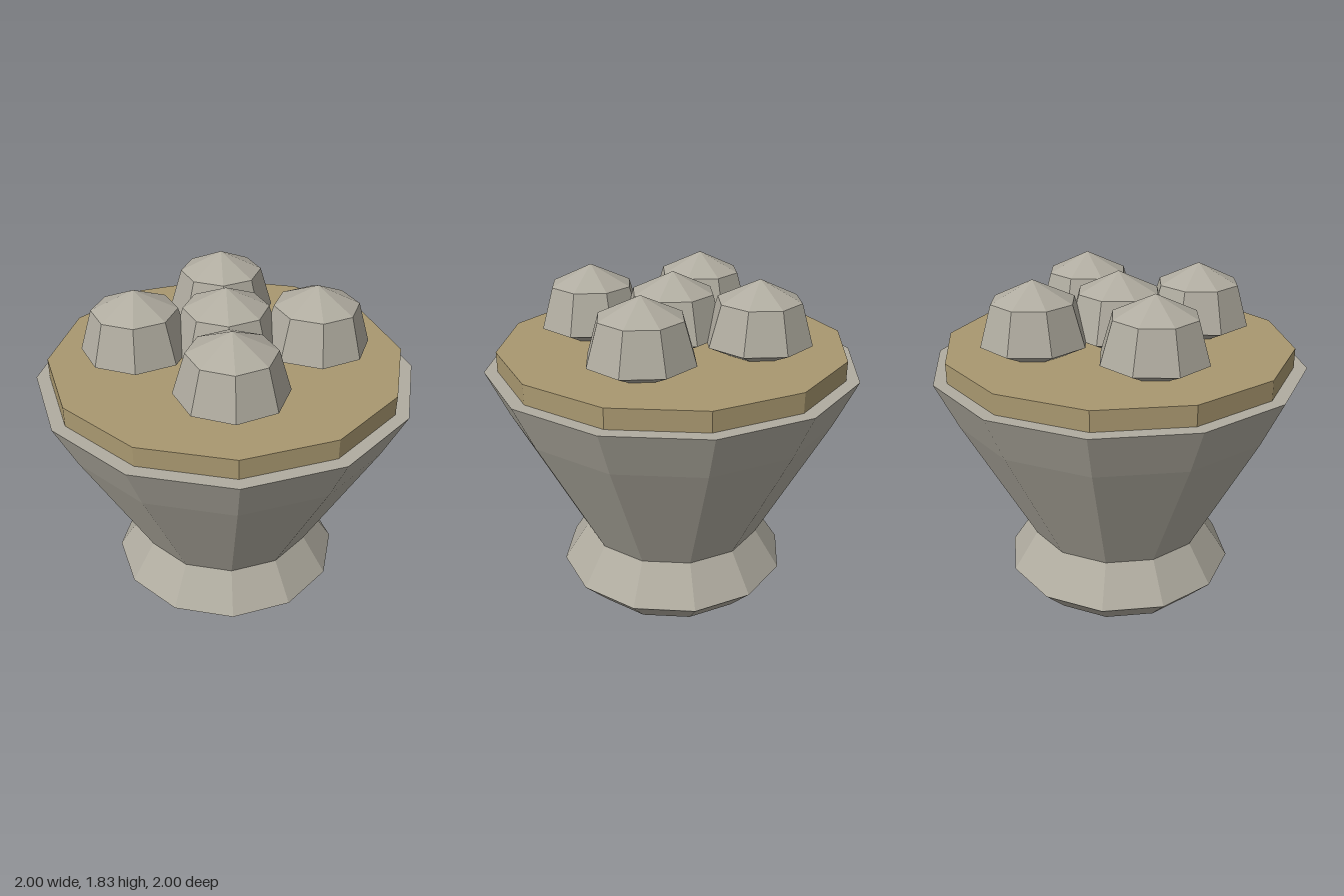
import * as THREE from 'three';

const stone = new THREE.MeshStandardMaterial({ name: 'stone', color: 0xb0aca0, flatShading: true });
const filling = new THREE.MeshStandardMaterial({ name: 'tanFilling', color: 0xa99870, flatShading: true });

// Faceted solid of revolution; the profile runs from bottom to top.
function turned(name, profile, sides, material) {
  const points = profile.map(([r, y]) => new THREE.Vector2(r, y));
  const mesh = new THREE.Mesh(new THREE.LatheGeometry(points, sides), material);
  mesh.name = name;
  return mesh;
}

export function createModel() {
  const model = new THREE.Group();
  model.name = 'stonePlanter';

  // Flared foot, narrow waist and wide bowl with a flat rim
  model.add(turned('pot', [
    [0, 0], [0.5, 0], [0.64, 0.145], [0.5, 0.36], [0.885, 1.09], [1, 1.34], [0, 1.34],
  ], 12, stone));

  // Disc filling the top of the bowl
  model.add(turned('filling', [
    [0, 1.33], [0.93, 1.33], [0.93, 1.445], [0, 1.445],
  ], 12, filling));

  // Five rounded stones set in a cross
  const spread = 0.463;
  const stones = new THREE.Group();
  stones.name = 'roundStones';
  for (const [x, z] of [[0, 0], [1, 0], [-1, 0], [0, 1], [0, -1]]) {
    const ball = turned('roundStone', [
      [0, 1.42], [0.11, 1.42], [0.285, 1.505], [0.22, 1.72], [0, 1.825],
    ], 8, stone);
    ball.position.set(x * spread, 0, z * spread);
    stones.add(ball);
  }
  model.add(stones);

  return model;
}
